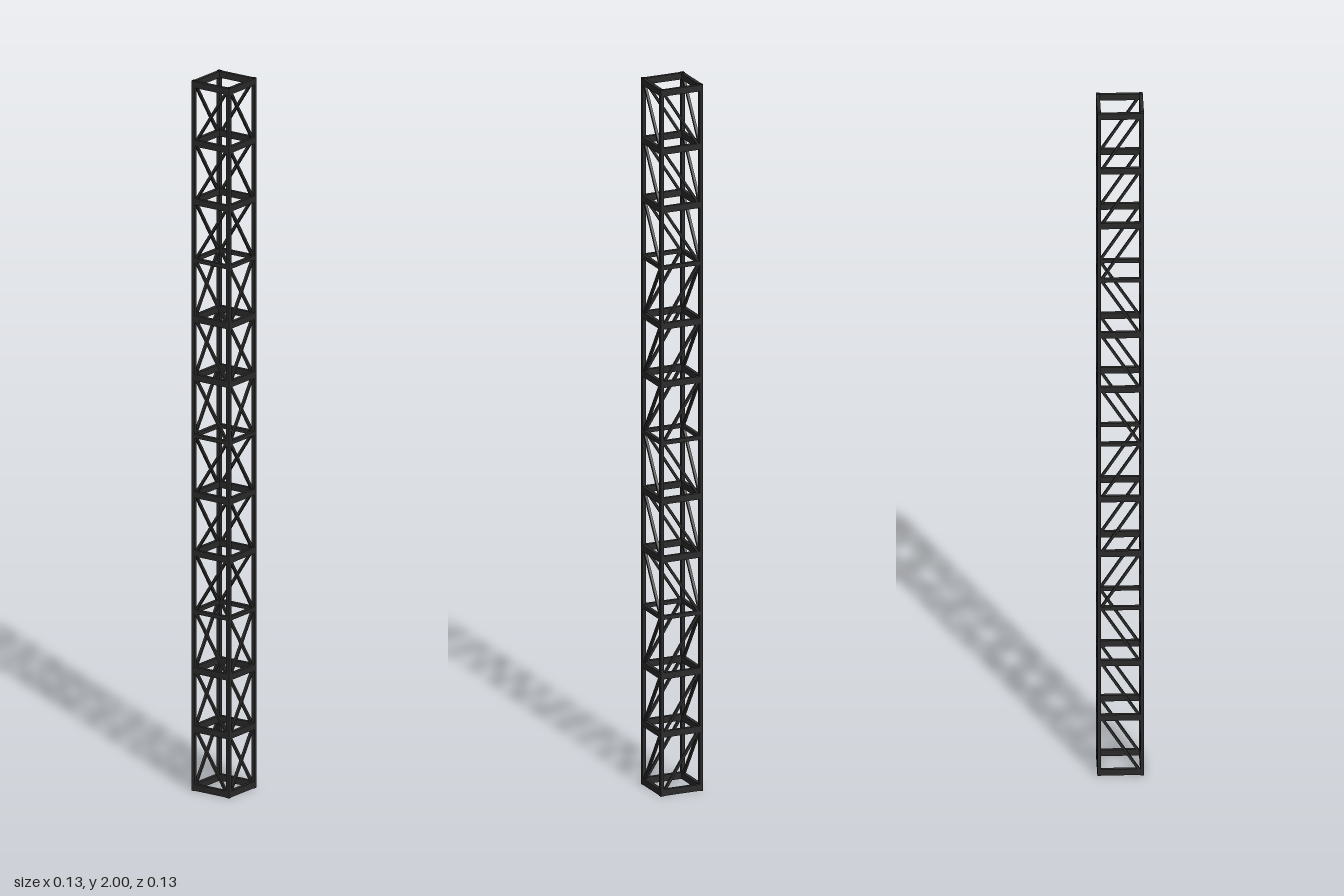
import * as THREE from 'three';

const HEIGHT = 2, OUTER = 0.063, BAR = 0.01;
const AXIS = OUTER - BAR / 2;      // centre line of posts and bars
const INNER = OUTER - BAR;         // half length of the cross bars
const LEVELS = 12, BASE = 0.01, STEP = (HEIGHT - 2 * BASE) / LEVELS;

export function createModel() {
  const tower = new THREE.Group();
  tower.name = 'latticeTower';
  const steel = new THREE.MeshStandardMaterial({ color: 0x2a2a2a, flatShading: true, side: THREE.DoubleSide });

  const add = (parent, name, geometry, x, y, z) => {
    const mesh = new THREE.Mesh(geometry, steel);
    mesh.name = name;
    mesh.position.set(x, y, z);
    parent.add(mesh);
    return mesh;
  };

  // Four square corner tubes, open at the ends
  const postGeometry = new THREE.CylinderGeometry(BAR / Math.SQRT2, BAR / Math.SQRT2, HEIGHT, 4, 1, true);
  postGeometry.rotateY(Math.PI / 4);
  for (const x of [-AXIS, AXIS])
    for (const z of [-AXIS, AXIS]) add(tower, 'cornerPost', postGeometry, x, HEIGHT / 2, z);

  // Cross bars are slimmer where the bracing changes direction
  const thickBar = new THREE.BoxGeometry(2 * INNER + 0.002, 0.018, BAR);
  const thinBar = new THREE.BoxGeometry(2 * INNER + 0.002, 0.011, BAR);
  const rise = STEP - 0.01, run = 2 * INNER - 0.006;
  const braceGeometry = new THREE.BoxGeometry(0.007, Math.hypot(rise, run), 0.007);
  const lean = Math.atan2(run, rise);

  // One lattice panel in the plane z = AXIS; mirrored panels lean the other way
  const makePanel = (name, mirror) => {
    const panel = new THREE.Group();
    panel.name = name;
    for (let i = 0; i <= LEVELS; i++) {
      const y = BASE + i * STEP;
      const slim = i % 3 === 0 && i > 0 && i < LEVELS;
      add(panel, 'crossBar', slim ? thinBar : thickBar, 0, y, AXIS);
      if (i === LEVELS) continue;
      const direction = Math.floor(i / 3) % 2 ? -1 : 1;
      const brace = add(panel, 'diagonalBrace', braceGeometry, 0, y + STEP / 2, AXIS);
      brace.rotation.z = lean * direction * mirror;
    }
    return panel;
  };

  // Opposite panels line up with each other
  ['frontPanel', 'leftPanel', 'backPanel', 'rightPanel'].forEach((name, i) => {
    const panel = makePanel(name, i === 0 || i === 3 ? 1 : -1);
    panel.rotation.y = i * Math.PI / 2;
    tower.add(panel);
  });
  return tower;
}
